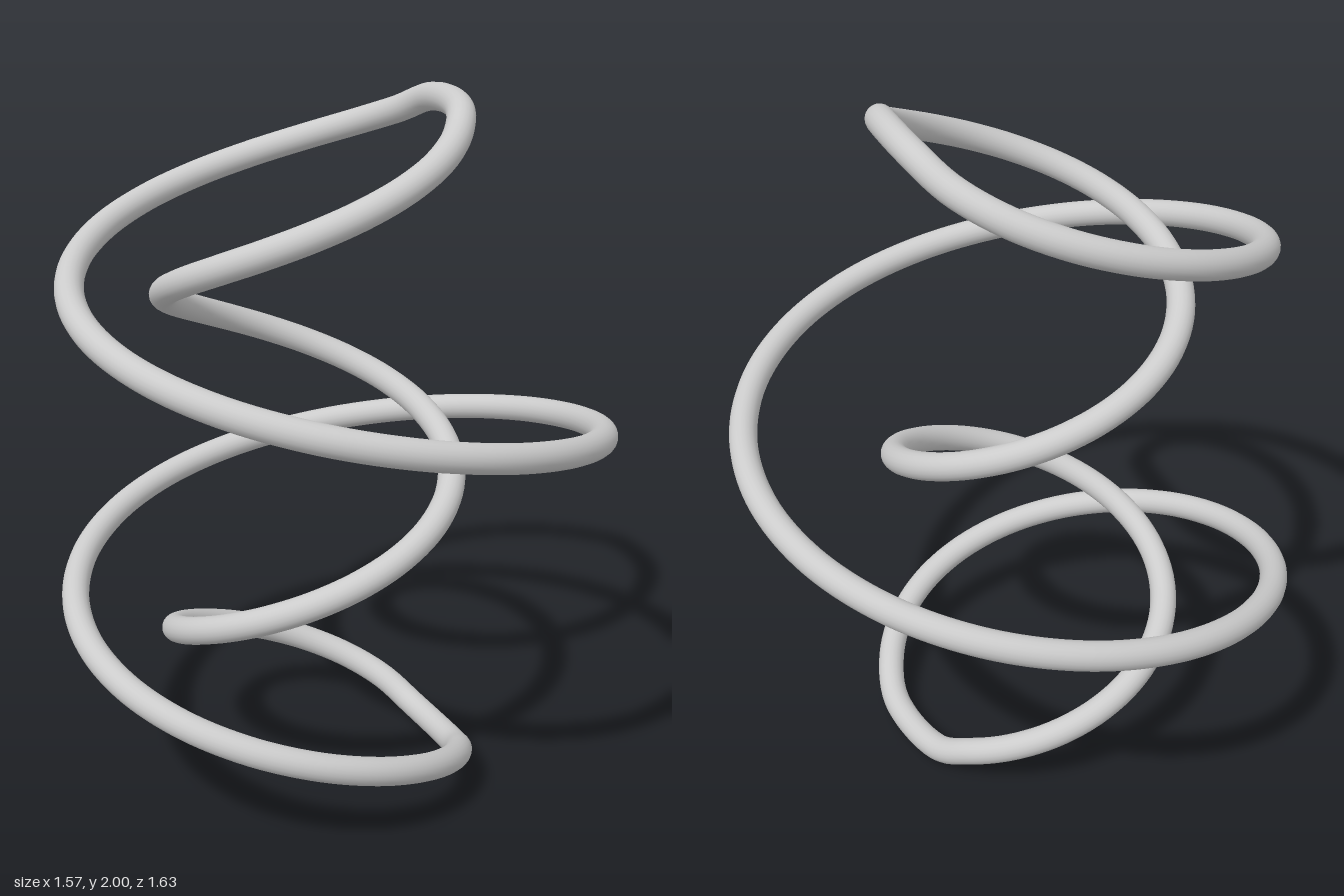
import * as THREE from 'three';

// One closed wire: a swelling outer coil going up, a constant inner coil coming back down.
const CENTER_X = -0.077, INNER_R = 0.4, WIRE_R = 0.0392;
const STEPS = 40; // samples per coil, two turns each

const coilPoint = (r, t, direction) => {
  const angle = direction * 4 * Math.PI * t;
  return new THREE.Vector3(CENTER_X + r * Math.cos(angle), 2 * t, r * Math.sin(angle));
};

export function createModel() {
  const group = new THREE.Group();
  const points = [];

  // The end samples are left out, so the spline bridges the two coils in a soft bend.
  // Outer coil, widest at mid height
  for (let i = 1; i < STEPS; i++) {
    const t = i / STEPS;
    const r = INNER_R + 0.396 * Math.sin(Math.PI * t) - 0.026 * Math.sin(3 * Math.PI * t);
    points.push(coilPoint(r, t, 1));
  }
  // Inner coil, back to the start
  for (let i = STEPS - 1; i > 0; i--) points.push(coilPoint(INNER_R, i / STEPS, -1));

  const path = new THREE.CatmullRomCurve3(points, true);
  const wire = new THREE.Mesh(
    new THREE.TubeGeometry(path, 500, WIRE_R, 20, true),
    new THREE.MeshStandardMaterial({ color: 0xcccccc })
  );
  wire.name = 'coiledWire';
  group.add(wire);
  return group;
}
